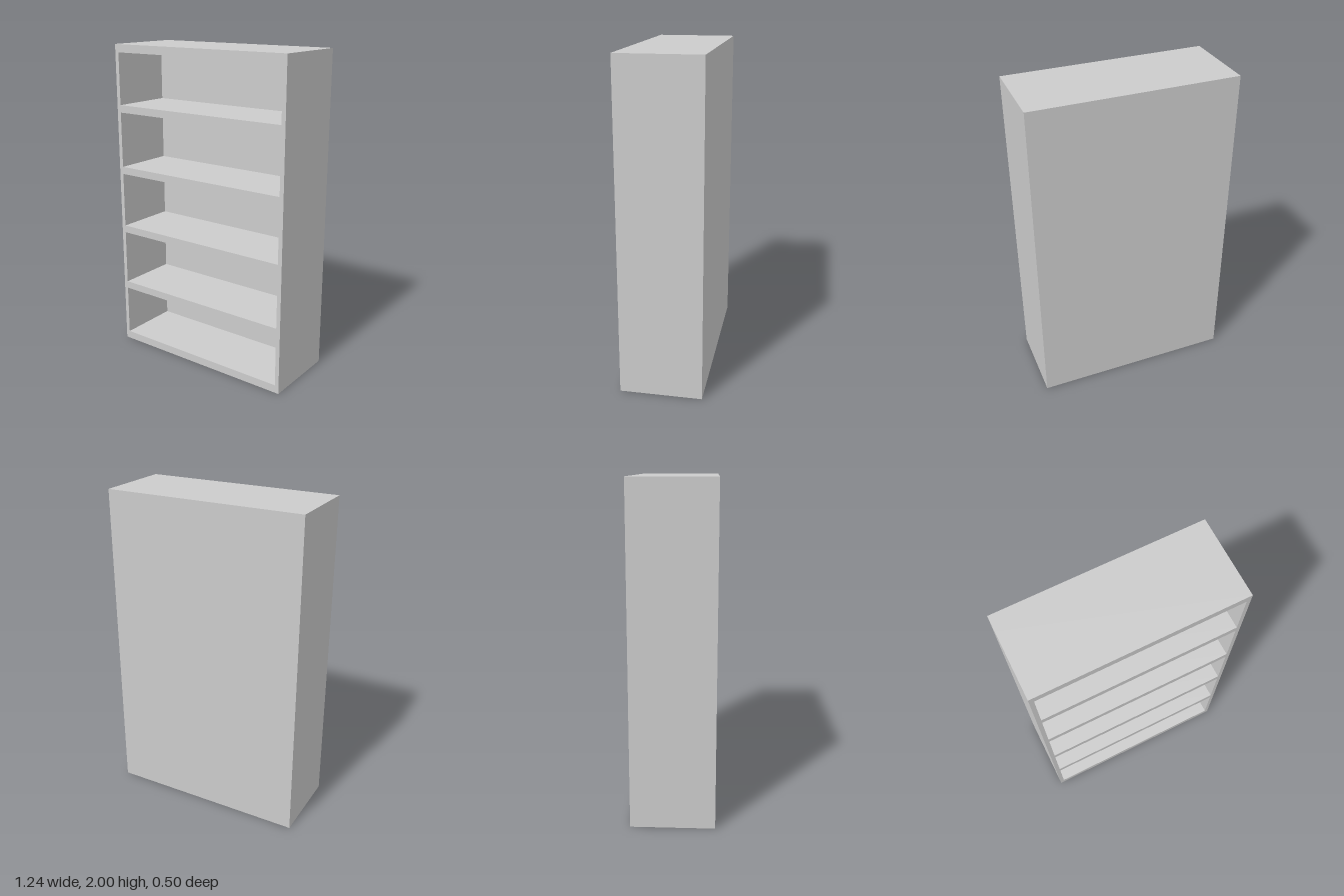
import * as THREE from 'three';

const W = 1.243, H = 2, D = 0.497;       // overall size
const SIDE = 0.026, EDGE = 0.05;         // side walls, top and bottom boards
const SHELF = 0.047, BACK = 0.097;       // shelf boards, back panel
const BAYS = 5;

function rectangle(path, x0, y0, x1, y1) {
  path.moveTo(x0, y0);
  path.lineTo(x1, y0);
  path.lineTo(x1, y1);
  path.lineTo(x0, y1);
  path.closePath();
  return path;
}

export function createModel() {
  const group = new THREE.Group();
  group.name = 'bookcase';
  const material = new THREE.MeshStandardMaterial({ color: 0xcccccc });

  // Walls and shelves: one board outline with an opening per bay
  const outline = rectangle(new THREE.Shape(), -W / 2, 0, W / 2, H);
  const pitch = H / BAYS;
  for (let i = 0; i < BAYS; i++) {
    const bottom = i === 0 ? EDGE : i * pitch + SHELF / 2;
    const top = i === BAYS - 1 ? H - EDGE : (i + 1) * pitch - SHELF / 2;
    outline.holes.push(rectangle(new THREE.Path(), -W / 2 + SIDE, bottom, W / 2 - SIDE, top));
  }
  const frameGeometry = new THREE.ExtrudeGeometry(outline, { depth: D - BACK, bevelEnabled: false });
  frameGeometry.translate(0, 0, -D / 2 + BACK);
  const frame = new THREE.Mesh(frameGeometry, material);
  frame.name = 'frameAndShelves';
  group.add(frame);

  // Thick back panel closing all bays
  const back = new THREE.Mesh(new THREE.BoxGeometry(W, H, BACK), material);
  back.position.set(0, H / 2, -D / 2 + BACK / 2);
  back.name = 'backPanel';
  group.add(back);

  return group;
}
